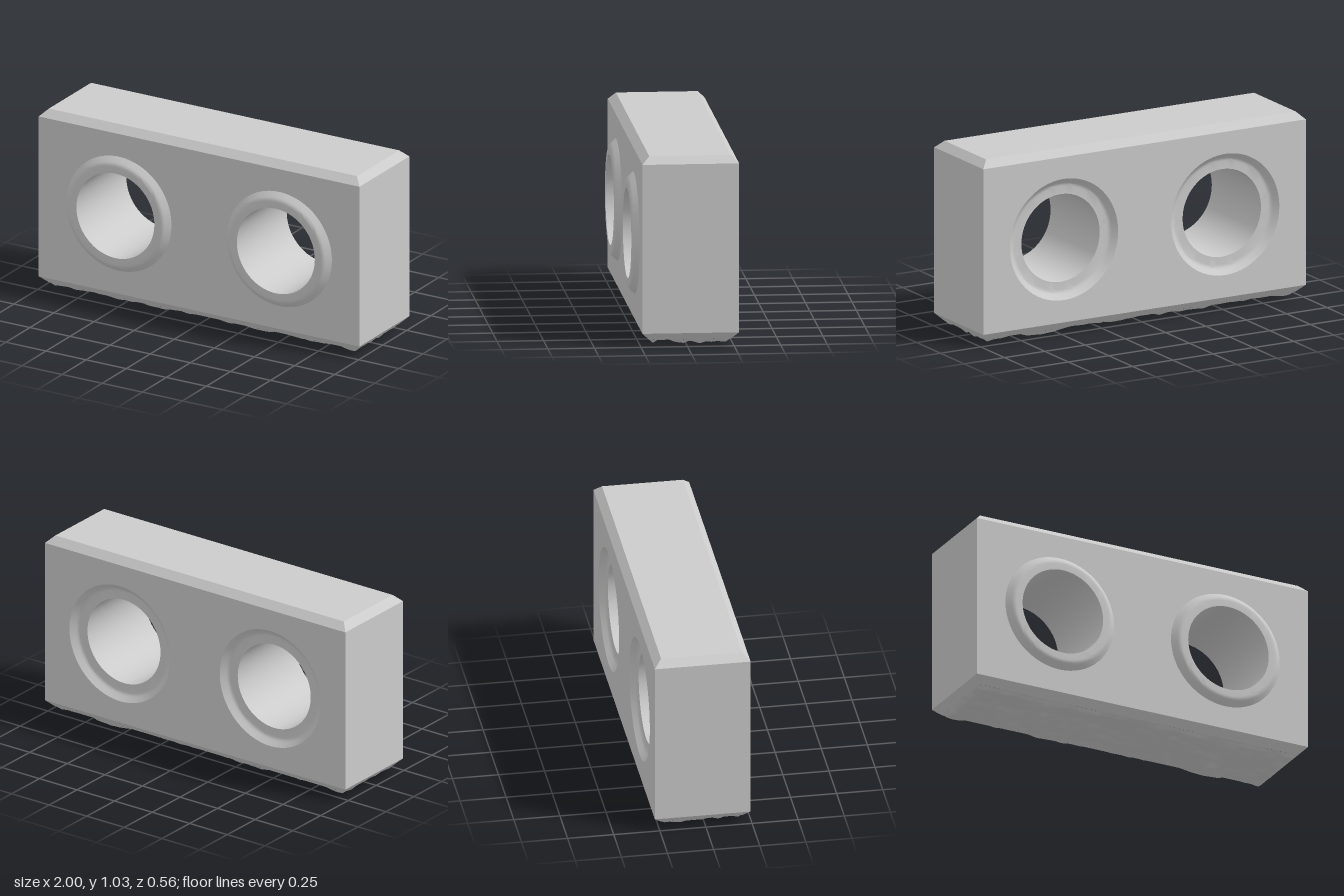
import * as THREE from 'three';
import { toCreasedNormals } from 'three/addons/utils/BufferGeometryUtils.js';

const HALF_W = 1, BACK = -0.277, FRONT = 0.242, BEVEL = 0.04;
const BOTTOM = 0.033, TOP = 1.031;
const HOLE_X = 0.5, HOLE_Y = 0.533, BORE = 0.243, RING = 0.328, SOCKET = 0.336;
const SEGMENTS = 64;

const material = new THREE.MeshStandardMaterial({ color: 0xcccccc });

function addMesh(parent, name, geometry) {
  const mesh = new THREE.Mesh(geometry, material);
  mesh.name = name;
  parent.add(mesh);
  return mesh;
}

// Rectangle corners at height y, anticlockwise seen from above
function section(y, inset) {
  const x = HALF_W - inset, f = FRONT - inset, b = BACK + inset;
  return [[-x, y, f], [x, y, f], [x, y, b], [-x, y, b]];
}

// Flat-shaded quads, corners anticlockwise seen from outside
function quads(list) {
  const positions = list.flatMap(([a, b, c, d]) => [a, b, c, a, c, d].flat());
  const geometry = new THREE.BufferGeometry();
  geometry.setAttribute('position', new THREE.Float32BufferAttribute(positions, 3));
  geometry.computeVertexNormals();
  return geometry;
}

function band(lower, upper, sides = [0, 1, 2, 3]) {
  return sides.map((i) => {
    const j = (i + 1) % 4;
    return [lower[i], lower[j], upper[j], upper[i]];
  });
}

// Wall rectangle pierced by two round openings
function wall(radius) {
  const shape = new THREE.Shape();
  const y0 = BOTTOM + BEVEL, y1 = TOP - BEVEL;
  shape.moveTo(-HALF_W, y0).lineTo(HALF_W, y0).lineTo(HALF_W, y1).lineTo(-HALF_W, y1).closePath();
  for (const side of [-1, 1]) {
    shape.holes.push(new THREE.Path().absarc(side * HOLE_X, HOLE_Y, radius, 0, Math.PI * 2, true));
  }
  return new THREE.ShapeGeometry(shape, SEGMENTS / 2);
}

// Raised front rim, bore and matching rear socket in one turned profile
function tubeGeometry() {
  const lip = (outer, base) => [
    [outer, base], [outer - 0.024, base + 0.024], [outer - 0.032, base + 0.031],
    [outer - 0.041, base + 0.035], [outer - 0.05, base + 0.036], [BORE, base + 0.036],
  ];
  const profile = [...lip(RING, FRONT), ...lip(SOCKET, BACK).reverse()];
  const geometry = new THREE.LatheGeometry(profile.map(([r, z]) => new THREE.Vector2(r, z)), SEGMENTS);
  geometry.rotateX(Math.PI / 2);
  return toCreasedNormals(geometry, 0.6);
}

// Smooth value noise from a hashed lattice
function hash(i, j) {
  const s = Math.sin(i * 127.1 + j * 311.7) * 43758.5453;
  return s - Math.floor(s);
}
function noise(x, z) {
  const i = Math.floor(x), j = Math.floor(z);
  const ease = (t) => t * t * (3 - 2 * t);
  const u = ease(x - i), v = ease(z - j);
  const mix = THREE.MathUtils.lerp;
  return mix(mix(hash(i, j), hash(i + 1, j), u), mix(hash(i, j + 1), hash(i + 1, j + 1), u), v);
}

// Rough, rippled underside hanging below the lower bevel
function undersideGeometry() {
  const w = (HALF_W - BEVEL) * 2, d = FRONT - BACK - BEVEL * 2;
  const geometry = new THREE.PlaneGeometry(w, d, 160, 64);
  geometry.rotateX(Math.PI / 2);
  const p = geometry.attributes.position;
  const depths = [];
  for (let i = 0; i < p.count; i++) {
    const x = p.getX(i), z = p.getZ(i);
    const edge = Math.min(w / 2 - Math.abs(x), d / 2 - Math.abs(z));
    const fade = THREE.MathUtils.smoothstep(edge, -0.001, 0.025);
    const ripple = 0.7 * noise(x * 9 + z * 4 + 50, z * 19 + 50) + 0.3 * noise(x * 20 + 90, z * 34 + 90);
    depths.push(fade * ripple);
  }
  const scale = BOTTOM / Math.max(...depths);
  depths.forEach((depth, i) => p.setY(i, BOTTOM - depth * scale));
  geometry.translate(0, 0, (FRONT + BACK) / 2);
  geometry.computeVertexNormals();
  return geometry;
}

export function createModel() {
  const model = new THREE.Group();
  model.name = 'piercedBlock';

  // Body shell
  const low = section(BOTTOM, BEVEL), lowEdge = section(BOTTOM + BEVEL, 0);
  const highEdge = section(TOP - BEVEL, 0), high = section(TOP, BEVEL);
  addMesh(model, 'lowerBevel', quads(band(low, lowEdge)));
  addMesh(model, 'endWalls', quads(band(lowEdge, highEdge, [1, 3])));
  addMesh(model, 'upperBevel', quads(band(highEdge, high)));
  addMesh(model, 'topFace', quads([high]));
  addMesh(model, 'roughUnderside', undersideGeometry());

  // Pierced walls
  addMesh(model, 'frontWall', wall(RING)).position.z = FRONT;
  const back = addMesh(model, 'backWall', wall(SOCKET));
  back.position.z = BACK;
  back.rotation.y = Math.PI;

  // Through holes
  const tube = tubeGeometry();
  for (const [name, side] of [['leftHole', 1], ['rightHole', -1]]) {
    addMesh(model, name, tube).position.set(side * HOLE_X, HOLE_Y, 0);
  }
  return model;
}
